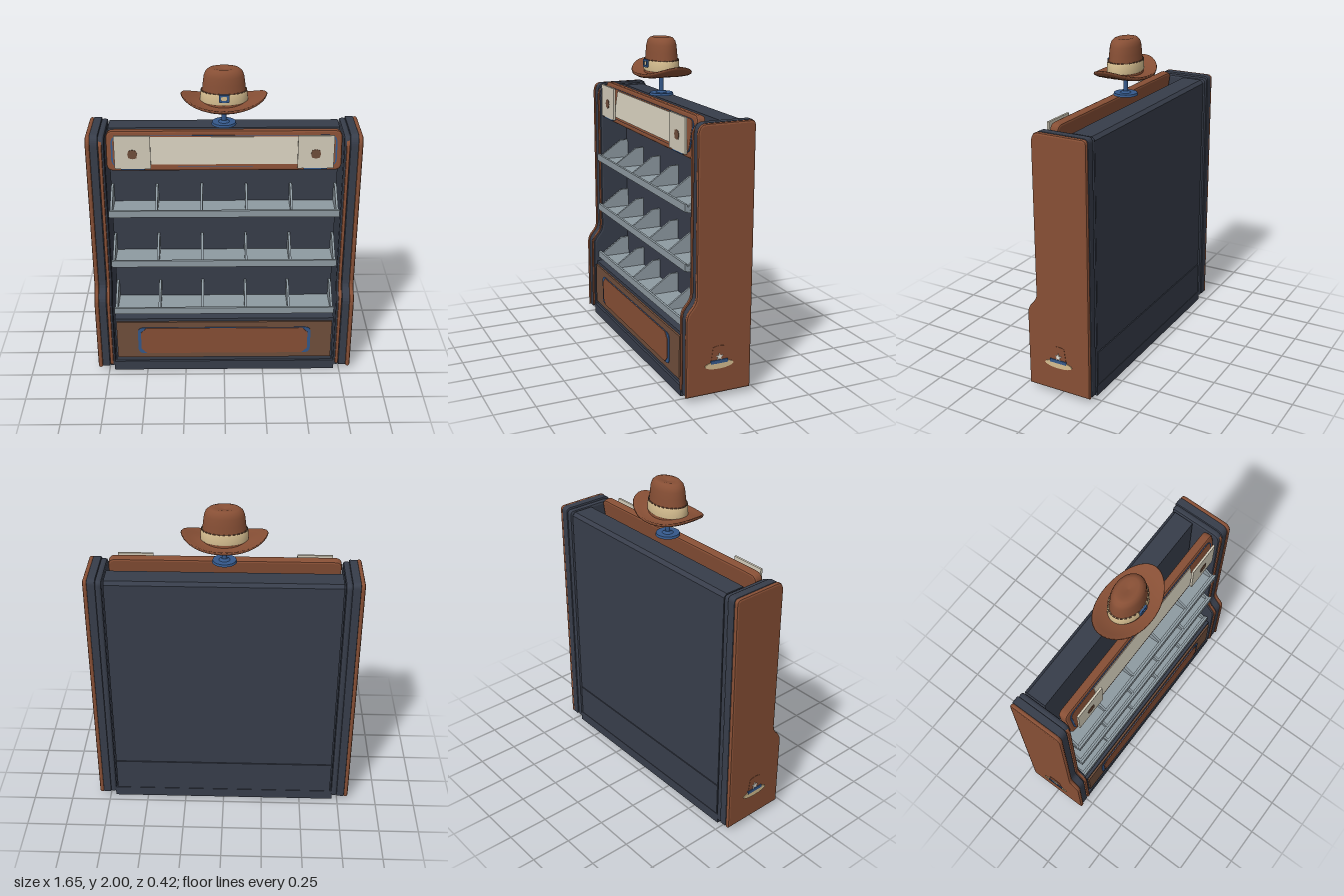
import * as THREE from 'three';

const mat = (name, color) => Object.assign(new THREE.MeshStandardMaterial({ color }), { name });

export function createModel() {
  const root = new THREE.Group();
  root.name = 'displayStand';
  const navy = mat('navy', 0x373d4a), rust = mat('rust leather', 0x874f35), wood = mat('brown wood', 0x6f4e3b);
  const grey = mat('shelf grey', 0x8e9aa1), cream = mat('cream', 0xd3ccba), tan = mat('tan', 0xd6be90);
  const blue = mat('blue', 0x34588a), white = mat('star white', 0xe6e2d8);

  const add = (name, geo, material, x = 0, y = 0, z = 0, parent = root) => {
    const m = new THREE.Mesh(geo, material);
    m.name = name;
    m.position.set(x, y, z);
    parent.add(m);
    return m;
  };
  // box given by its limits
  const box = (name, material, x0, x1, y0, y1, z0, z1, parent = root) =>
    add(name, new THREE.BoxGeometry(x1 - x0, y1 - y0, z1 - z0), material,
      (x0 + x1) / 2, (y0 + y1) / 2, (z0 + z1) / 2, parent);
  // extrusion whose bevel stays inside the outline
  const extrude = (shape, depth, bevel = 0, segs = 2) => {
    const g = new THREE.ExtrudeGeometry(shape, {
      depth: depth - 2 * bevel, curveSegments: 8, bevelEnabled: bevel > 0,
      bevelSize: bevel, bevelThickness: bevel, bevelOffset: -bevel, bevelSegments: segs
    });
    return g.translate(0, 0, bevel);
  };
  // turns a (z, y) outline extrusion so that it spans x0..x1
  const acrossX = (shape, x0, x1, bevel) =>
    extrude(shape, x1 - x0, bevel).rotateY(-Math.PI / 2).translate(x1, 0, 0);
  const roundRect = (w, h, r) => {
    const s = new THREE.Shape(), a = w / 2, b = h / 2;
    s.moveTo(-a + r, -b).lineTo(a - r, -b).quadraticCurveTo(a, -b, a, -b + r);
    s.lineTo(a, b - r).quadraticCurveTo(a, b, a - r, b).lineTo(-a + r, b);
    s.quadraticCurveTo(-a, b, -a, b - r).lineTo(-a, -b + r).quadraticCurveTo(-a, -b, -a + r, -b);
    return s;
  };
  const polygon = (n, radius) => new THREE.Shape(Array.from({ length: n }, (_, i) => {
    const a = Math.PI / 2 + i * 2 * Math.PI / n, r = radius(i);
    return new THREE.Vector2(r * Math.cos(a), r * Math.sin(a));
  }));

  // side profile: deep foot, curved waist, slim upper part
  const sideProfile = (back, out, bottom, top) => {
    const s = new THREE.Shape(), f = 0.2 + out, u = 0.138 + out;
    s.moveTo(back, bottom).lineTo(f, bottom).lineTo(f, 0.5);
    s.bezierCurveTo(f, 0.57, u, 0.57, u, 0.64);
    s.lineTo(u, top - 0.065).quadraticCurveTo(u, top, u - 0.05, top);
    s.lineTo(back + 0.03, top).quadraticCurveTo(back, top, back, top - 0.03);
    return s;
  };

  // hat emblem on the side panels, drawn in (z, y)
  const brimShape = new THREE.Shape().absellipse(0, 0, 0.092, 0.024, 0, Math.PI * 2);
  const crownShape = new THREE.Shape();
  crownShape.moveTo(-0.052, 0.235).lineTo(0.052, 0.235).lineTo(0.04, 0.32);
  crownShape.quadraticCurveTo(0, 0.335, -0.04, 0.32);

  // side panels, mirrored by explicit limits
  for (const s of [1, -1]) {
    const side = new THREE.Group();
    side.name = s > 0 ? 'leftSide' : 'rightSide';
    root.add(side);
    const span = (name, shape, m, a, b, bevel) =>
      add(name, acrossX(shape, Math.min(s * a, s * b), Math.max(s * a, s * b), bevel), m, 0, 0, 0, side);
    span('outerPanel', sideProfile(-0.207, 0.007, 0.03, 1.62), rust, 0.79, 0.82, 0.012);
    span('sideCore', sideProfile(-0.209, 0, 0.035, 1.622), navy, 0.745, 0.795, 0.006);
    span('innerCore', sideProfile(-0.205, -0.004, 0.035, 1.612), navy, 0.708, 0.75, 0.015);
    span('frontTrim', sideProfile(0.05, 0.005, 0.05, 1.6), rust, 0.722, 0.742, 0.005);

    // emblem
    span('emblemCrown', crownShape, rust, 0.818, 0.822, 0);
    const e = new THREE.Group();
    e.name = 'sideEmblem';
    e.position.set(s * 0.82, 0, 0);
    e.rotation.y = s * Math.PI / 2;
    side.add(e);
    add('emblemBrim', extrude(brimShape, 0.005), tan, 0, 0.21, 0, e);
    box('emblemBand', blue, -0.055, 0.055, 0.22, 0.241, 0, 0.007, e);
    add('emblemStar', extrude(polygon(10, i => i % 2 ? 0.01 : 0.024), 0.006), white, 0, 0.26, 0, e);
  }

  // base, lower cabinet and back box
  box('base', navy, -0.715, 0.715, 0, 0.065, -0.2, 0.195);
  box('lowerCabinet', navy, -0.7, 0.7, 0.06, 0.385, -0.19, 0.18);
  box('lowerBackPanel', navy, -0.7, 0.7, 0.06, 0.28, -0.197, -0.18);
  const backProfile = new THREE.Shape();
  backProfile.moveTo(-0.195, 0.285).lineTo(-0.05, 0.285).lineTo(-0.05, 1.605).lineTo(-0.175, 1.605).lineTo(-0.195, 1.585);
  add('backBox', acrossX(backProfile, -0.7, 0.7, 0), navy);

  // front panel with framed plate
  box('frontPanel', wood, -0.69, 0.69, 0.095, 0.365, 0.17, 0.192);
  add('plateFrame', extrude(roundRect(1.11, 0.195, 0.04), 0.006), blue, 0, 0.228, 0.19);
  const plate = new THREE.Shape([[-0.5, -0.095], [0.5, -0.095], [0.535, -0.06], [0.535, 0.06],
    [0.5, 0.095], [-0.5, 0.095], [-0.535, 0.06], [-0.535, -0.06]].map(p => new THREE.Vector2(...p)));
  add('frontPlate', extrude(plate, 0.008), rust, 0, 0.228, 0.192);

  // shelves with sloping dividers
  const divider = new THREE.Shape([[-0.05, 0], [0.14, 0], [0.14, 0.035], [0.0, 0.13], [-0.05, 0.13]]
    .map(p => new THREE.Vector2(...p)));
  for (const y of [0.405, 0.752, 1.1]) {
    const shelf = new THREE.Group();
    shelf.name = 'shelf';
    shelf.position.y = y;
    root.add(shelf);
    box('shelfFloor', grey, -0.7, 0.7, 0, 0.014, -0.05, 0.14, shelf);
    box('shelfLip', grey, -0.7, 0.7, 0.006, 0.05, 0.15, 0.165, shelf);
    box('shelfLipBase', grey, -0.7, 0.7, 0, 0.036, 0.135, 0.152, shelf);
    box('shelfSupport', navy, -0.665, 0.665, -0.022, 0, -0.05, 0.1, shelf);
    for (let i = 0; i < 6; i++) {
      const x = -0.688 + i * 0.2752;
      add('divider', acrossX(divider, x - 0.007, x + 0.007, 0), grey, 0, 0.004, 0, shelf);
    }
  }

  // tilted header sign
  const header = new THREE.Group();
  header.name = 'header';
  header.position.set(0, 1.522, 0.11);
  header.rotation.x = -0.15;
  root.add(header);
  add('headerFrame', extrude(roundRect(1.4, 0.245, 0.045), 0.055, 0.012), rust, 0, 0, -0.055, header);
  add('headerBacking', extrude(roundRect(1.34, 0.19, 0.05), 0.004), blue, 0, 0, 0, header);
  add('headerBorder', extrude(roundRect(1.32, 0.185, 0.04), 0.006), rust, 0, 0, 0, header);
  box('headerBoard', cream, -0.46, 0.46, -0.08, 0.087, 0, 0.01, header);
  for (const s of [-1, 1]) {
    const x = s * 0.542;
    box('signClip', blue, x - 0.07, x + 0.07, 1.414, 1.425, 0.115, 0.143);
    box('signPlate', cream, x - 0.107, x + 0.107, 1.422, 1.63, 0.132, 0.145);
    add('signBadge', extrude(polygon(8, i => i % 2 ? 0.033 : 0.029), 0.004), wood, x, 1.515, 0.144);
  }

  // hat stand
  add('standDisc', new THREE.CylinderGeometry(0.07, 0.074, 0.014, 32), blue, 0, 1.658, 0);
  add('standCollar', new THREE.CylinderGeometry(0.018, 0.035, 0.012, 24), blue, 0, 1.67, 0);
  add('standPole', new THREE.CylinderGeometry(0.014, 0.014, 0.13, 20), blue, 0, 1.725, 0);

  // hat
  const hat = new THREE.Group();
  hat.name = 'hat';
  root.add(hat);
  const lathe = (pts, sz) => new THREE.LatheGeometry(pts.map(p => new THREE.Vector2(...p)), 48).scale(1, 1, sz);
  const brim = lathe([[0, 1.76], [0.08, 1.758], [0.16, 1.757], [0.22, 1.758], [0.25, 1.763], [0.255, 1.772],
    [0.25, 1.78], [0.22, 1.778], [0.16, 1.783], [0.12, 1.793], [0, 1.793]], 0.645);
  const p = brim.attributes.position;
  for (let i = 0; i < p.count; i++) {
    const u = p.getX(i) / 0.255, v = p.getZ(i) / 0.165;
    p.setY(i, p.getY(i) + 0.07 * Math.abs(u) ** 2.2 + 0.012 * v ** 4);
  }
  brim.computeVertexNormals();
  add('hatBrim', brim, rust, 0, 0, 0, hat);
  add('hatCrown', lathe([[0.14, 1.775], [0.132, 1.83], [0.124, 1.91], [0.118, 1.955], [0.108, 1.98],
    [0.09, 1.995], [0.07, 2], [0.04, 1.995], [0, 1.988]], 0.71), rust, 0, 0, 0, hat);
  add('hatBand', lathe([[0.134, 1.8], [0.141, 1.806], [0.138, 1.858], [0.128, 1.865]], 0.72), tan, 0, 0, 0, hat);
  // stitches along the band
  for (let i = 0; i < 28; i++) {
    const a = i * Math.PI / 14;
    const stitch = add('bandStitch', new THREE.BoxGeometry(0.014, 0.006, 0.006), wood,
      0.133 * Math.sin(a), 1.866, 0.096 * Math.cos(a), hat);
    stitch.rotation.y = Math.atan2(0.71 * Math.sin(a), Math.cos(a));
  }
  // buckle frame with a tan centre
  const buckle = roundRect(0.06, 0.048, 0.008);
  buckle.holes.push(new THREE.Path(roundRect(0.034, 0.024, 0.004).getPoints(4).reverse()));
  add('buckle', extrude(buckle, 0.012), blue, 0, 1.845, 0.096, hat);
  box('buckleCentre', tan, -0.018, 0.018, 1.832, 1.858, 0.096, 0.102, hat);

  return root;
}
